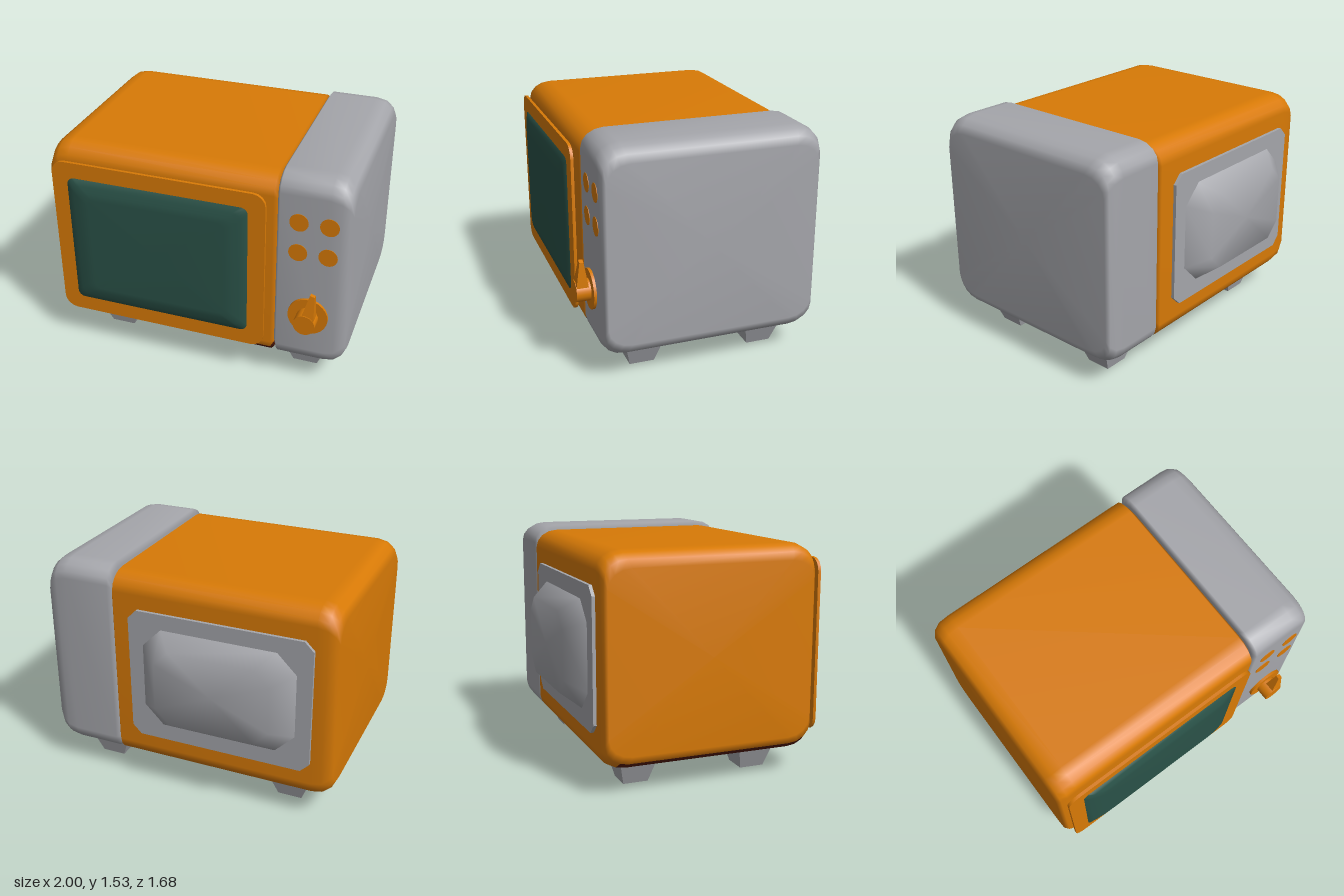
import * as THREE from 'three';
import { toCreasedNormals } from 'three/addons/utils/BufferGeometryUtils.js';

const mat = (name, color) => {
  const m = new THREE.MeshStandardMaterial({ color });
  m.name = name;
  return m;
};

// Rounded rectangle, counter-clockwise, n segments per corner
function section(cx, cy, hw, hh, rw, rh, n) {
  const pts = [];
  [[1, 1], [-1, 1], [-1, -1], [1, -1]].forEach(([sx, sy], k) => {
    for (let i = 0; i <= n; i++) {
      const a = (k + i / n) * Math.PI / 2;
      pts.push([cx + sx * (hw - rw) + rw * Math.cos(a), cy + sy * (hh - rh) + rh * Math.sin(a)]);
    }
  });
  return pts;
}

// Skin over sections stacked along +z; faces picked by isSecond use material 1
function loft(rings, isSecond = () => false) {
  const pos = [], lists = [[], []], n = rings[0].pts.length;
  for (const { z, pts } of rings) for (const [x, y] of pts) pos.push(x, y, z);
  for (let i = 0; i < rings.length - 1; i++) {
    for (let j = 0; j < n; j++) {
      const a = i * n + j, b = i * n + (j + 1) % n;
      lists[isSecond(i, j) ? 1 : 0].push(a, b, b + n, a, b + n, a + n);
    }
  }
  [0, rings.length - 1].forEach((r, end) => {
    const c = pos.length / 3, { z, pts } = rings[r];
    pos.push(pts.reduce((s, p) => s + p[0], 0) / n, pts.reduce((s, p) => s + p[1], 0) / n, z);
    for (let j = 0; j < n; j++) {
      const a = r * n + j, b = r * n + (j + 1) % n;
      lists[0].push(c, ...(end ? [a, b] : [b, a]));
    }
  });
  const g = new THREE.BufferGeometry();
  g.setAttribute('position', new THREE.Float32BufferAttribute(pos, 3));
  g.setIndex([...lists[0], ...lists[1]]);
  g.addGroup(0, lists[0].length, 0);
  if (lists[1].length) g.addGroup(lists[0].length, lists[1].length, 1);
  g.computeVertexNormals();
  return g;
}

export function createModel() {
  const model = new THREE.Group();
  model.name = 'microwaveOven';
  const orange = mat('orange', 0xd87a06);
  const grey = mat('grey', 0xa5a6ab);
  const teal = mat('dark teal glass', 0x2a5248);
  const brown = mat('dark red brown', 0x541a08);

  const add = (name, geometry, material, parent = model) => {
    const m = new THREE.Mesh(geometry, material);
    m.name = name;
    parent.add(m);
    return m;
  };

  // Casing halves: sections along x as [x, inset in y, inset in z]
  const casing = (rows, bottom, top, isSecond) => loft(rows.map(([x, iy, iz]) => ({
    z: x,
    pts: section(-0.01, (bottom + top) / 2, 0.71 - iz, (top - bottom) / 2 - iy, 0.15, 0.12, 4),
  })), isSecond).rotateY(Math.PI / 2);

  // Underside and lower front rounding are brown, the outer end stays orange
  add('ovenBody', casing(
    [[-1, 0.1, 0.03], [-0.975, 0.05, 0.012], [-0.93, 0.015, 0], [-0.86, 0, 0], [0.51, 0, 0], [0.53, 0.03, 0.03]],
    0.165, 1.505, (i, j) => i > 0 && j >= 11 && j <= 15), [orange, brown]);
  add('controlHousing', casing(
    [[0.53, 0.03, 0.03], [0.55, 0, 0], [0.86, 0, 0], [0.93, 0.015, 0], [0.975, 0.05, 0.012], [1, 0.1, 0.03]],
    0.165, 1.535), grey);

  // Plates and bulges: rows are [z, half width, half height, corner radius]
  const stack = (cx, cy, n, rows) => loft(rows.map(([z, w, h, r]) => ({
    z, pts: section(cx, cy, w, h, r, r, n),
  })));

  // Door with bulging window
  add('doorFrame', toCreasedNormals(stack(-0.24, 0.838, 4,
    [[0.745, 0.715, 0.567, 0.085], [0.765, 0.715, 0.567, 0.085]]), 0.7), orange);
  add('doorWindow', stack(-0.242, 0.838, 4, [
    [0.75, 0.608, 0.462, 0.045], [0.768, 0.605, 0.46, 0.045], [0.782, 0.56, 0.42, 0.05],
    [0.793, 0.51, 0.38, 0.05], [0.8, 0.455, 0.34, 0.05]]), teal);

  // Rear cover with raised bulge
  add('rearPlate', toCreasedNormals(stack(-0.23, 0.835, 1,
    [[-0.722, 0.625, 0.455, 0.06], [-0.69, 0.625, 0.455, 0.06]]), 0.5), grey);
  add('rearBulge', stack(-0.23, 0.838, 1,
    [[-0.84, 0.39, 0.26, 0.1], [-0.72, 0.525, 0.348, 0.13], [-0.715, 0.525, 0.348, 0.13]]), grey);

  // Round buttons
  const disc = (r, z0, z1, x, y) => new THREE.CylinderGeometry(r, r, z1 - z0, 24)
    .rotateX(Math.PI / 2).translate(x, y, (z0 + z1) / 2);
  for (const x of [0.672, 0.862]) {
    for (const y of [1.235, 1.022]) add('button', disc(0.06, 0.716, 0.723, x, y), orange);
  }

  // Dial: base disc, hub and tapered pointer
  const dial = new THREE.Group();
  dial.name = 'dial';
  model.add(dial);
  add('dialBase', disc(0.13, 0.73, 0.748, 0.759, 0.572), orange, dial);
  add('dialHub', disc(0.07, 0.745, 0.84, 0.759, 0.57), orange, dial);
  const pointer = new THREE.BoxGeometry(1, 1, 1).toNonIndexed();
  const pp = pointer.attributes.position;
  for (let i = 0; i < pp.count; i++) {
    const x = pp.getX(i), z = pp.getZ(i);
    if (pp.getY(i) > 0) pp.setXYZ(i, 0.8 + x * 0.03, 0.783 + x * -0.01, 0.802 + z * 0.026);
    else pp.setXYZ(i, 0.777 + x * 0.085, 0.61, 0.8 + z * 0.078);
  }
  pointer.computeVertexNormals();
  add('dialPointer', pointer, orange, dial);

  // Tapered feet
  for (const x of [-0.658, 0.702]) {
    for (const z of [0.415, -0.41]) {
      const foot = new THREE.BoxGeometry(1, 0.147, 1).toNonIndexed();
      const p = foot.attributes.position;
      for (let i = 0; i < p.count; i++) {
        const top = p.getY(i) > 0;
        p.setX(i, p.getX(i) * (top ? 0.28 : 0.165));
        p.setZ(i, p.getZ(i) * (top ? 0.24 : 0.165));
      }
      foot.computeVertexNormals();
      add('foot', foot, grey).position.set(x, 0.0735, z);
    }
  }
  return model;
}
